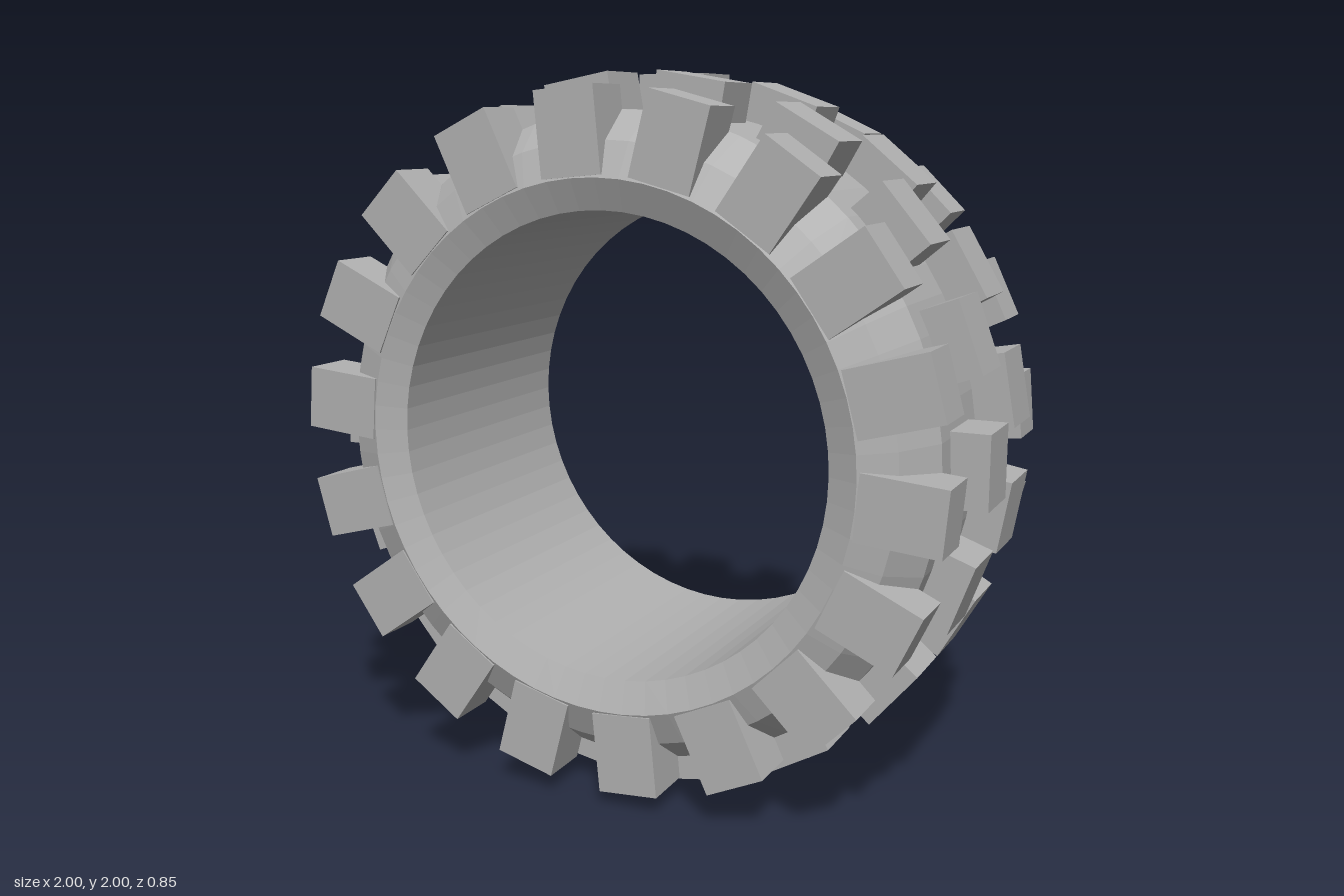
import * as THREE from 'three';

export function createModel() {
  const model = new THREE.Group();
  model.name = 'knobbyTyre';
  const rubber = new THREE.MeshStandardMaterial({ color: 0xb0b0b0, flatShading: true });
  rubber.name = 'greyRubber';

  // Everything turns about the z axis at wheel-centre height
  const wheel = new THREE.Group();
  wheel.name = 'wheel';
  wheel.position.y = 1;
  model.add(wheel);

  // Carcass: half profile [radius, z] from bore to tread, mirrored and closed
  const half = [[0.64, 0.39], [0.725, 0.425], [0.82, 0.385], [0.897, 0.28]];
  const profile = [
    ...half.map(([r, z]) => [r, -z]),
    ...half.slice().reverse(),
    [half[0][0], -half[0][1]],
  ].map(([r, z]) => new THREE.Vector2(r, z));
  const carcassGeometry = new THREE.LatheGeometry(profile, 64);
  carcassGeometry.rotateX(Math.PI / 2);
  const carcass = new THREE.Mesh(carcassGeometry, rubber);
  carcass.name = 'carcass';
  wheel.add(carcass);

  // A ring of 18 knobs between two radii and two z positions
  const count = 18;
  function knobRow(name, inner, outer, width, z0, z1, phaseDegrees) {
    const row = new THREE.Group();
    row.name = name;
    const geometry = new THREE.BoxGeometry(outer - inner, width, z1 - z0);
    geometry.translate((inner + outer) / 2, 0, (z0 + z1) / 2);
    for (let i = 0; i < count; i++) {
      const knob = new THREE.Mesh(geometry, rubber);
      knob.name = 'knob';
      knob.rotation.z = THREE.MathUtils.degToRad(phaseDegrees) + (i / count) * Math.PI * 2;
      row.add(knob);
    }
    wheel.add(row);
  }

  // Tall shoulder knobs and wider centre knobs, each row staggered
  knobRow('frontShoulderKnobs', 0.728, 0.956, 0.177, 0.28, 0.427, -4.7);
  knobRow('frontCentreKnobs', 0.85, 0.996, 0.2, 0.03, 0.205, 0.3);
  knobRow('rearCentreKnobs', 0.85, 0.996, 0.2, -0.205, -0.03, 10.3);
  knobRow('rearShoulderKnobs', 0.728, 0.956, 0.177, -0.427, -0.28, 5.3);

  return model;
}
